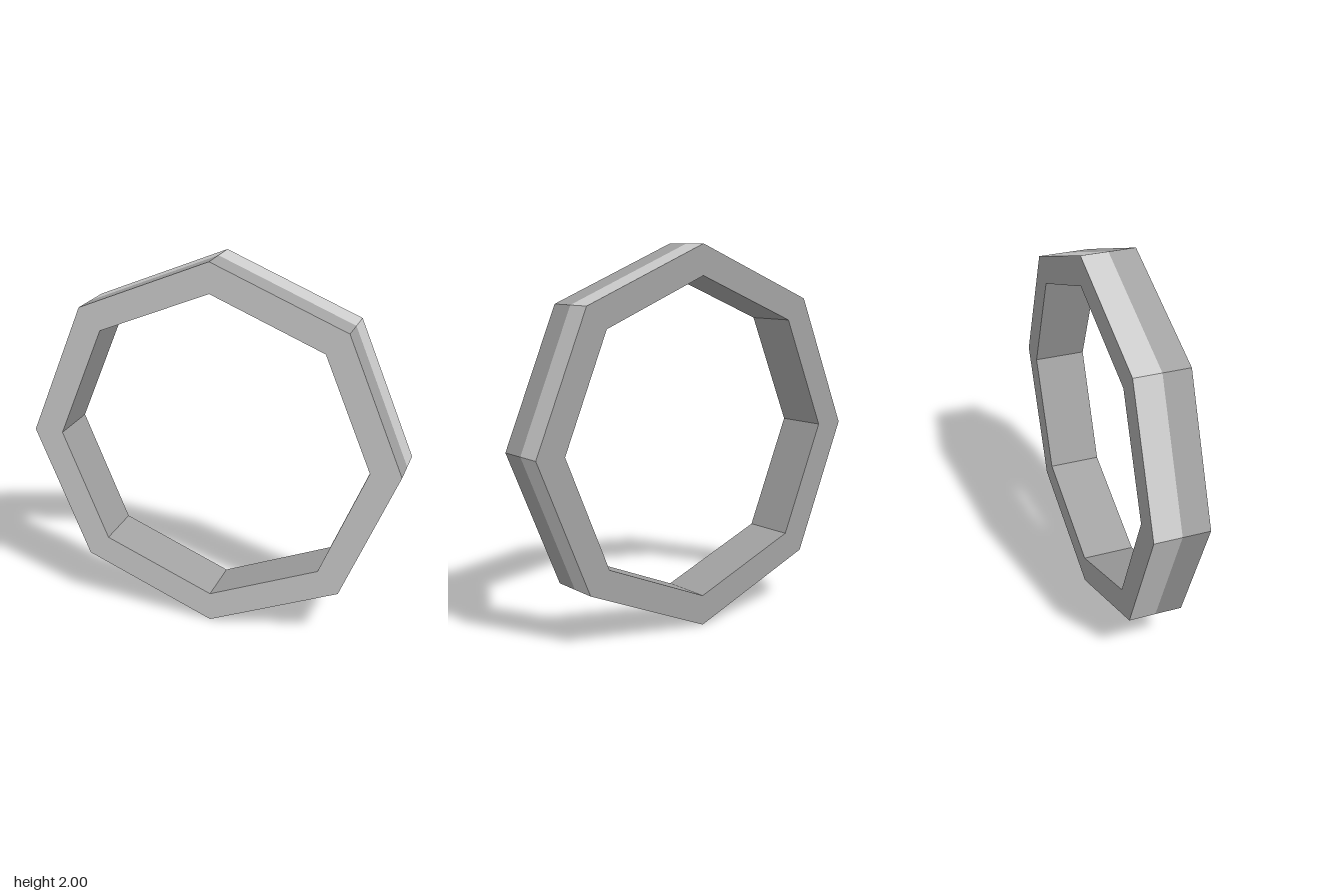
import * as THREE from 'three';

const OUTER = 1, INNER = 0.84, HALF = 0.142, SIDES = 8;

const light = new THREE.MeshStandardMaterial({ color: 0xcccccc, flatShading: true });
const dark = new THREE.MeshStandardMaterial({ color: 0xa2a2a2, flatShading: true });

// One eight-sided band of the ring, swept from a profile of [radius, depth] points
function band(name, profile, material) {
  const points = profile.map(([r, z]) => new THREE.Vector2(r, z));
  const geometry = new THREE.LatheGeometry(points, SIDES);
  geometry.rotateX(Math.PI / 2);
  const mesh = new THREE.Mesh(geometry, material);
  mesh.name = name;
  return mesh;
}

export function createModel() {
  const ring = new THREE.Group();
  ring.name = 'octagonalRing';
  ring.add(
    // Outer rim, split into two tones along its middle
    band('rearOuterRim', [[OUTER, -HALF], [OUTER, 0]], light),
    band('frontOuterRim', [[OUTER, 0], [OUTER, HALF]], dark),
    // Flat faces and the inside wall
    band('frontFace', [[OUTER, HALF], [INNER, HALF]], light),
    band('innerWall', [[INNER, HALF], [INNER, -HALF]], dark),
    band('backFace', [[INNER, -HALF], [OUTER, -HALF]], dark),
  );
  ring.position.y = OUTER;

  const model = new THREE.Group();
  model.add(ring);
  return model;
}
